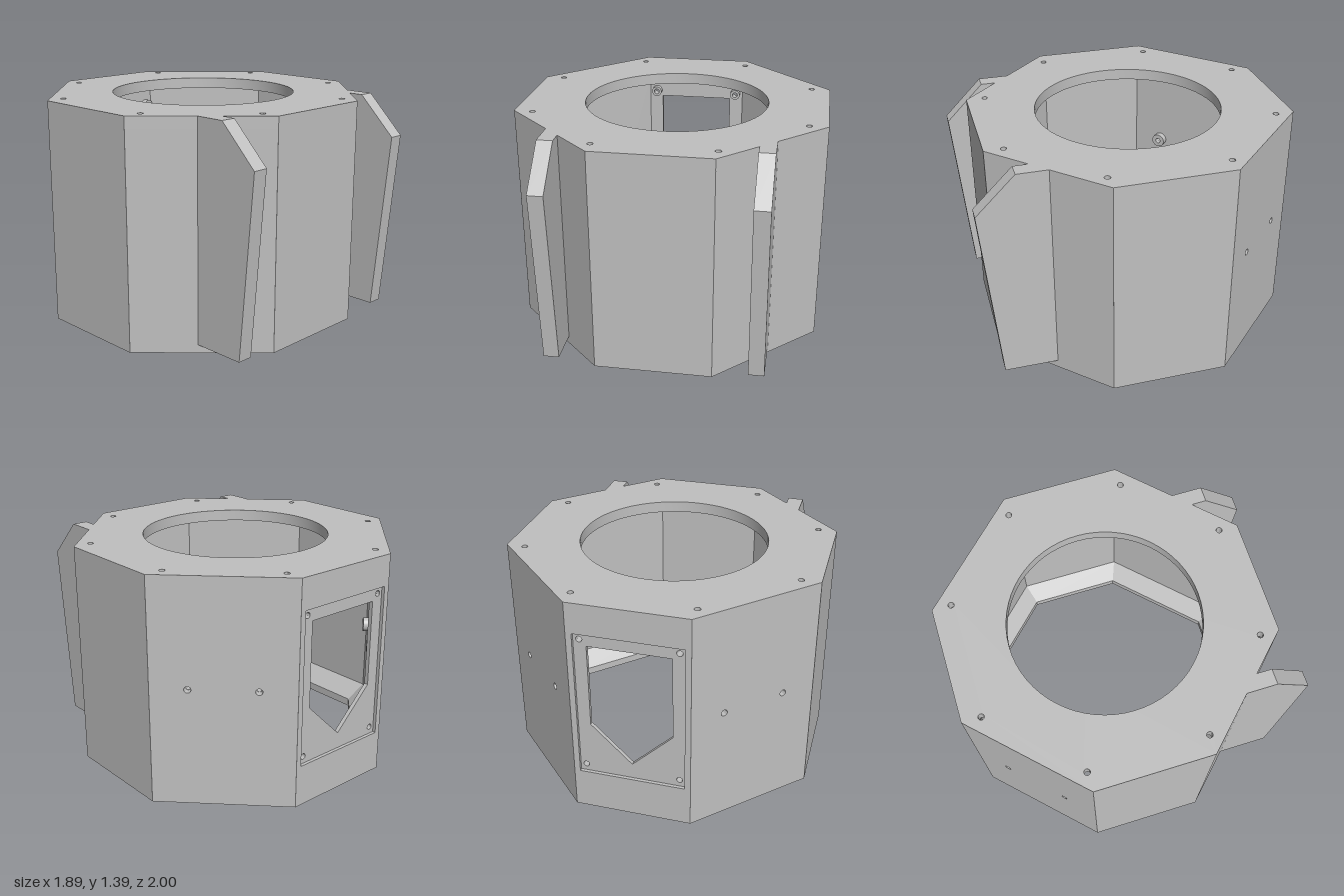
import * as THREE from 'three';
import { toCreasedNormals } from 'three/addons/utils/BufferGeometryUtils.js';

const HEIGHT = 1.39, TOP = 0.07, WALL = 0.045, CENTER_Z = -0.055;
const FLAT = 0.945, DIAGONAL = 0.919; // distances from the axis to the straight and diagonal faces
const grey = new THREE.MeshStandardMaterial({ color: 0xc0c0c0 });
grey.name = 'grey';

const points = (list) => list.map(([x, y]) => new THREE.Vector2(x, y));
const polygon = (list) => new THREE.Shape(points(list));
const rect = (w, y0, y1) => polygon([[-w, y0], [w, y0], [w, y1], [-w, y1]]);
const circle = (x, y, r) => new THREE.Shape().absarc(x, y, r, 0, Math.PI * 2, false);

// Octagon inset by a given distance from the outer faces
function octagon(inset) {
  const a = FLAT - inset, s = (DIAGONAL - inset) * Math.SQRT2 - a;
  return [[a, -s], [a, s], [s, a], [-s, a], [-a, s], [-a, -s], [-s, -a], [s, -a]];
}

function extrude(shape, depth, holes = []) {
  shape.holes.push(...holes);
  const geo = new THREE.ExtrudeGeometry(shape, { depth, bevelEnabled: false, curveSegments: 32 });
  return toCreasedNormals(geo, 0.5);
}

function add(parent, name, geo) {
  const mesh = new THREE.Mesh(geo, grey);
  mesh.name = name;
  parent.add(mesh);
  return mesh;
}

// Horizontal plate starting at height y
function plate(parent, name, shape, y, depth, holes) {
  const mesh = add(parent, name, extrude(shape, depth, holes).rotateX(-Math.PI / 2));
  mesh.position.y = y;
}

// Plate lying in a wall's plane, its outer side sunk by inset
function panel(parent, name, shape, inset, depth, holes) {
  add(parent, name, extrude(shape, depth, holes)).position.z = -inset - depth;
}

// Sloped band joining two octagons, facing inward
function slope(insetLow, yLow, insetHigh, yHigh) {
  const low = octagon(insetLow), high = octagon(insetHigh), v = [];
  for (let i = 0; i < 8; i++) {
    const j = (i + 1) % 8;
    const a = [low[i][0], yLow, low[i][1]], b = [low[j][0], yLow, low[j][1]];
    const c = [high[j][0], yHigh, high[j][1]], d = [high[i][0], yHigh, high[i][1]];
    v.push(...a, ...b, ...c, ...a, ...c, ...d);
  }
  const geo = new THREE.BufferGeometry();
  geo.setAttribute('position', new THREE.Float32BufferAttribute(v, 3));
  geo.computeVertexNormals();
  return geo;
}

export function createModel() {
  const model = new THREE.Group();
  model.name = 'octagonalHousing';
  const body = new THREE.Group();
  body.name = 'body';
  body.position.z = CENTER_Z;
  model.add(body);

  // Top plate with a round opening and eight screw holes
  const topHoles = [circle(0, 0, 0.573)];
  for (const [x, y] of octagon(0.115)) {
    const flat = Math.abs(x) > Math.abs(y);
    topHoles.push(circle(flat ? x : Math.sign(x) * 0.355, flat ? Math.sign(y) * 0.355 : y, 0.018));
  }
  plate(body, 'topPlate', polygon(octagon(0)), HEIGHT - TOP, TOP, topHoles);

  // Bottom flange, raised inside the rim, with a screw hole on each side
  const flangeHoles = [polygon(octagon(0.145))];
  for (let i = 0; i < 8; i++) {
    const r = (i % 2 ? DIAGONAL : FLAT) - 0.09, a = i * Math.PI / 4;
    flangeHoles.push(circle(r * Math.cos(a), r * Math.sin(a), 0.018));
  }
  plate(body, 'bottomFlange', polygon(octagon(WALL)), 0.05, 0.05, flangeHoles);
  add(body, 'flangeSlope', slope(0.145, 0.1, WALL, 0.2));

  // Eight walls: 0 is the front, 4 the back
  for (let i = 0; i < 8; i++) {
    const a = i * Math.PI / 4, r = i % 2 ? DIAGONAL : FLAT, half = i % 2 ? 0.417 : 0.355;
    const wall = new THREE.Group();
    wall.name = 'wall' + i;
    wall.position.set(r * Math.sin(a), 0, r * Math.cos(a));
    wall.rotation.y = a;
    body.add(wall);
    const shape = rect(half, 0, HEIGHT - TOP);
    let screws = [];
    if (i === 4) {
      // Back wall with a recessed frame around a pointed window
      screws = [[-0.285, 0.3], [0.285, 0.3], [-0.285, 1.16], [0.285, 1.16]];
      const window = polygon([[-0.245, 1.12], [-0.245, 0.595], [0, 0.355], [0.245, 0.595], [0.245, 1.12]]);
      panel(wall, 'backWall', shape, 0, 0.02, [rect(0.32, 0.256, 1.2)]);
      panel(wall, 'windowFrame', rect(half, 0, HEIGHT - TOP), 0.02, 0.025,
        [window, ...screws.map(([x, y]) => circle(x, y, 0.018))]);
    } else {
      if (i === 3 || i === 5) screws = [[-0.2, 0.725], [0.2, 0.725]];
      panel(wall, 'wallPanel', shape, 0, WALL, screws.map(([x, y]) => circle(x, y, 0.02)));
    }
    // Screw bosses on the inside
    for (const [x, y] of screws) {
      const size = i === 4 ? 0.034 : 0.045;
      panel(wall, 'screwBoss', circle(x, y, size), WALL, 0.04, [circle(x, y, 0.018)]);
    }
  }

  // Two front fins whose inner edge follows the diagonal walls
  for (const side of [-1, 1]) {
    const profile = polygon([[0.5, 0.05], [0.905, 0.05], [1, 1.155], [0.765, HEIGHT], [0.5, HEIGHT]]);
    const geo = new THREE.ExtrudeGeometry(profile, { depth: 0.095, bevelEnabled: false });
    geo.rotateY(-Math.PI / 2).translate(side * 0.6175 + 0.0475, 0, 0);
    const p = geo.attributes.position;
    for (let i = 0; i < p.count; i++) {
      if (p.getZ(i) < 0.55) p.setZ(i, 1.22 - Math.abs(p.getX(i)));
    }
    geo.computeVertexNormals();
    add(model, side > 0 ? 'leftFin' : 'rightFin', geo);
  }
  return model;
}
